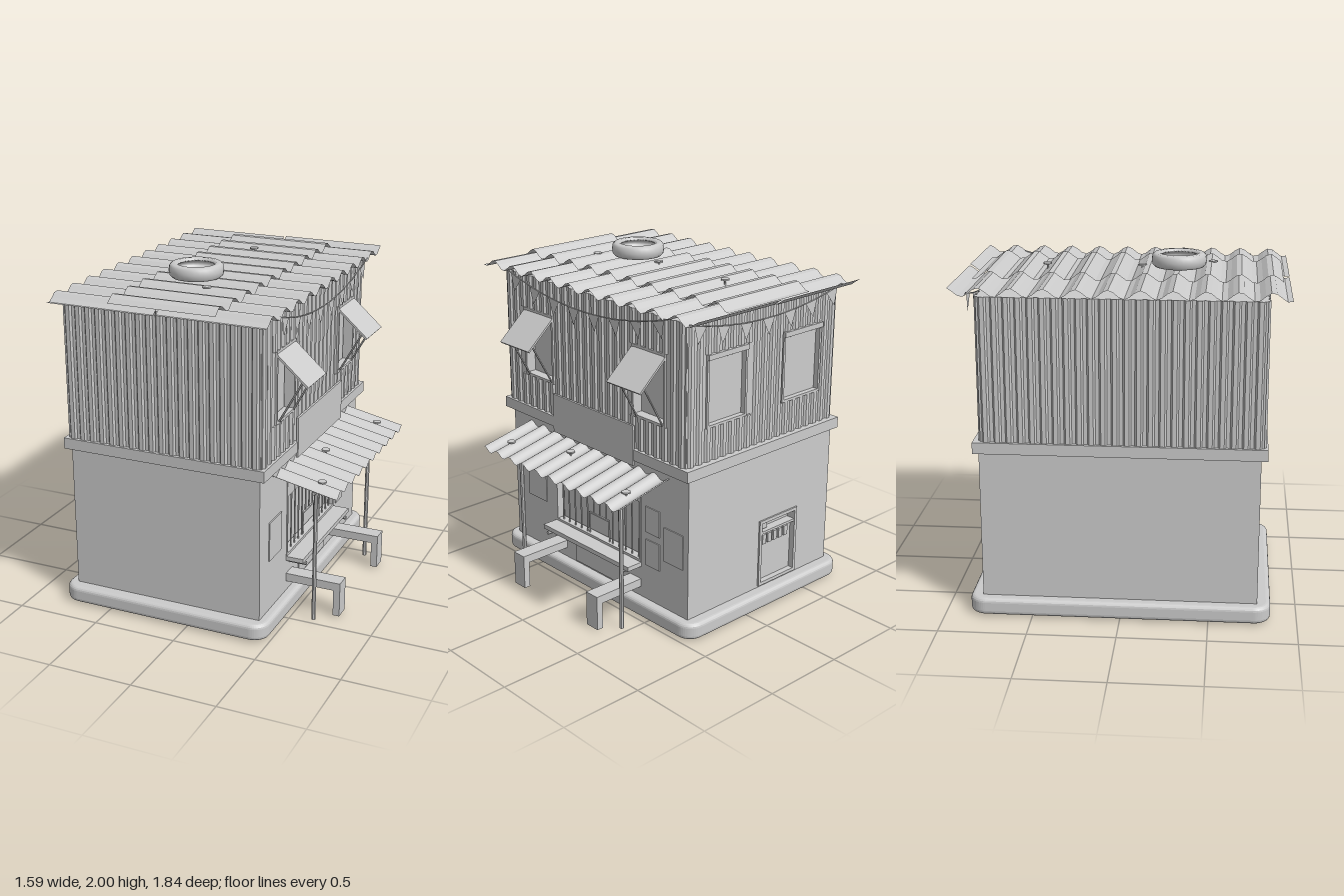
import * as THREE from 'three';
import { RoundedBoxGeometry } from 'three/addons/geometries/RoundedBoxGeometry.js';

const mat = new THREE.MeshStandardMaterial({ color: 0xcccccc, flatShading: true });
const thin = new THREE.MeshStandardMaterial({ color: 0xcccccc, flatShading: true, side: THREE.DoubleSide });
const smooth = new THREE.MeshStandardMaterial({ color: 0xcccccc, side: THREE.DoubleSide });

function add(parent, name, geo, material = mat) {
  const m = new THREE.Mesh(geo, material);
  m.name = name;
  parent.add(m);
  return m;
}

// Box given by its extents
function box(parent, name, x0, x1, y0, y1, z0, z1) {
  const m = add(parent, name, new THREE.BoxGeometry(x1 - x0, y1 - y0, z1 - z0));
  m.position.set((x0 + x1) / 2, (y0 + y1) / 2, (z0 + z1) / 2);
  return m;
}

// Straight round rod between two points
function rod(parent, name, a, b, r, sides = 8) {
  const p = new THREE.Vector3(...a), q = new THREE.Vector3(...b), d = q.clone().sub(p);
  const m = add(parent, name, new THREE.CylinderGeometry(r, r, d.length(), sides));
  m.position.copy(p).add(q).multiplyScalar(0.5);
  m.quaternion.setFromUnitVectors(new THREE.Vector3(0, 1, 0), d.normalize());
  return m;
}

// Wall panel facing local +z, with rectangular holes [u0, u1, y0, y1] and optional ribs
function wall(parent, name, u0, u1, y0, y1, holes, ribbed) {
  const g = new THREE.Group();
  g.name = name;
  parent.add(g);
  const rect = (S, a, b, c, d) => new S([[a, c], [b, c], [b, d], [a, d]].map(p => new THREE.Vector2(...p)));
  const shape = rect(THREE.Shape, u0, u1, y0, y1);
  shape.holes = holes.map(h => rect(THREE.Path, ...h));
  add(g, 'panel', new THREE.ExtrudeGeometry(shape, { depth: 0.06, bevelEnabled: false }).translate(0, 0, -0.06));
  if (!ribbed) return g;
  const n = Math.round((u1 - u0) / 0.064), step = (u1 - u0) / n;
  const profile = new THREE.Shape([[-0.022, 0], [-0.012, -0.012], [0.012, -0.012], [0.022, 0]].map(p => new THREE.Vector2(...p)));
  for (let i = 0; i < n; i++) {
    const u = u0 + (i + 0.5) * step;
    const hole = holes.find(h => u > h[0] - 0.02 && u < h[1] + 0.02);
    for (const [a, b] of hole ? [[y0, hole[2]], [hole[3], y1]] : [[y0, y1]]) {
      const geo = new THREE.ExtrudeGeometry(profile, { depth: b - a, bevelEnabled: false });
      add(g, 'rib', geo.rotateX(-Math.PI / 2)).position.set(u, a, 0);
    }
  }
  return g;
}

// Frame around a rectangle on a local +z wall
function frame(g, name, [u0, u1, y0, y1], t, z0, z1) {
  box(g, name, u0, u0 + t, y0, y1, z0, z1);
  box(g, name, u1 - t, u1, y0, y1, z0, z1);
  box(g, name, u0 + t, u1 - t, y0, y0 + t, z0, z1);
  box(g, name, u0 + t, u1 - t, y1 - t, y1, z0, z1);
}

// Corrugated sheet: waves along z, height from y(x, z)
function sheet(parent, name, x0, x1, z0, z1, steps, height, material) {
  const geo = new THREE.PlaneGeometry(x1 - x0, z1 - z0, 1, steps).rotateX(-Math.PI / 2);
  geo.translate((x0 + x1) / 2, 0, (z0 + z1) / 2);
  const p = geo.attributes.position;
  for (let i = 0; i < p.count; i++) p.setY(i, height(p.getX(i), p.getZ(i)));
  geo.computeVertexNormals();
  return add(parent, name, geo, material);
}

// Sagging string with triangular flags, in local XY
function bunting(parent, u0, u1, yEnd, sag, count) {
  const g = new THREE.Group();
  g.name = 'bunting';
  parent.add(g);
  const y = t => yEnd - sag * (1 - (2 * t - 1) ** 2);
  const pts = Array.from({ length: 13 }, (_, i) => new THREE.Vector3(u0 + (u1 - u0) * i / 12, y(i / 12), 0));
  add(g, 'string', new THREE.TubeGeometry(new THREE.CatmullRomCurve3(pts), 30, 0.004, 5));
  for (let i = 0; i < count; i++) {
    const t = (i + 0.5) / count;
    const tri = new THREE.Shape([[-0.048, 0], [0.005, -0.1], [0.048, 0]].map(p => new THREE.Vector2(...p)));
    const flag = add(g, 'flag', new THREE.ShapeGeometry(tri), thin);
    flag.position.set(u0 + (u1 - u0) * t, y(t), 0);
    flag.rotation.z = Math.atan(4 * sag * (2 * t - 1) / (u1 - u0));
  }
  return g;
}

function nail(parent, x, y, z) {
  rod(parent, 'nailHead', [x, y - 0.008, z], [x, y, z], 0.025, 12);
  rod(parent, 'nailStem', [x, y - 0.09, z], [x, y - 0.008, z], 0.006, 6);
}

export function createModel() {
  const root = new THREE.Group();
  root.name = 'shopHouse';

  // Ground slab with rounded plan corners and a soft rim
  const slab = new THREE.Shape(), sx = 0.62, sz = 0.83, r = 0.07;
  slab.absarc(sx - r, sz - r, r, 0, Math.PI / 2);
  slab.absarc(-sx + r, sz - r, r, Math.PI / 2, Math.PI);
  slab.absarc(-sx + r, -sz + r, r, Math.PI, Math.PI * 1.5);
  slab.absarc(sx - r, -sz + r, r, Math.PI * 1.5, Math.PI * 2);
  const slabGeo = new THREE.ExtrudeGeometry(slab, { depth: 0.05, bevelThickness: 0.025, bevelSize: 0.025, bevelSegments: 4, curveSegments: 6 });
  add(root, 'groundSlab', slabGeo.rotateX(-Math.PI / 2)).position.set(-0.158, 0.035, -0.005);

  // Lower storey
  const counterHole = [-0.38, 0.4, 0.33, 0.81], doorHole = [0.14, 0.46, 0.12, 0.54];
  box(root, 'lowerCore', -0.74, 0.37, 0.1, 0.97, -0.73, 0.775);
  const shopWall = wall(root, 'lowerShopWall', -0.775, 0.785, 0.1, 0.97, [counterHole]);
  shopWall.position.x = 0.43;
  shopWall.rotation.y = Math.PI / 2;
  const doorWall = wall(root, 'lowerBackWall', -0.37, 0.74, 0.1, 0.97, [doorHole]);
  doorWall.position.z = -0.785;
  doorWall.rotation.y = Math.PI;

  // Back door with header, vents and a small plate
  frame(doorWall, 'doorFrame', doorHole, 0.02, -0.05, 0.01);
  box(doorWall, 'doorLeaf', 0.16, 0.44, 0.14, 0.45, -0.05, -0.025);
  box(doorWall, 'doorHeader', 0.16, 0.44, 0.45, 0.465, -0.05, 0.005);
  box(doorWall, 'doorPlate', 0.17, 0.22, 0.475, 0.51, -0.05, -0.01);
  for (let i = 0; i < 5; i++) box(doorWall, 'doorVent', 0.19 + i * 0.046, 0.22 + i * 0.046, 0.37, 0.43, -0.03, -0.012);

  // Floor band
  box(root, 'floorBand', -0.77, 0.47, 0.97, 1.035, -0.815, 0.81);

  // Upper storey with ribbed walls
  const shopWindows = [[-0.61, -0.34, 1.23, 1.65], [0.35, 0.62, 1.23, 1.65]];
  const backWindows = [[-0.3, 0.01, 1.23, 1.65], [0.3, 0.62, 1.23, 1.65]];
  box(root, 'upperCore', -0.7, 0.39, 1.03, 1.85, -0.715, 0.73);
  const sides = [
    ['upperShopWall', -0.785, 0.77, shopWindows, [0.445, 0, 0], Math.PI / 2],
    ['upperBackWall', -0.44, 0.745, backWindows, [0, 0, -0.772], Math.PI],
    ['upperPlainWall', -0.77, 0.785, [], [-0.748, 0, 0], -Math.PI / 2],
    ['upperFrontWall', -0.745, 0.44, [], [0, 0, 0.788], 0],
  ];
  for (const [name, u0, u1, holes, pos, turn] of sides) {
    const w = wall(root, name, u0, u1, 1.03, 1.85, holes, true);
    w.position.set(...pos);
    w.rotation.y = turn;
    for (const h of holes) frame(w, 'windowFrame', h, 0.015, -0.05, 0.012);
    // Shutters propped open on the shop side, closed panels at the back
    for (const [a, b] of holes) {
      if (name === 'upperShopWall') {
        const s = add(w, 'shutter', new THREE.BoxGeometry(b - a, 0.25, 0.012));
        s.position.set((a + b) / 2, 1.55, 0.095);
        s.rotation.x = -0.84;
        for (const u of [a + 0.04, b - 0.02]) rod(w, 'shutterProp', [u, 1.24, 0.01], [u, 1.5, 0.155], 0.006, 6);
      } else {
        box(w, 'windowPanel', a + 0.015, b - 0.015, 1.245, 1.6, -0.045, -0.02);
        box(w, 'windowHood', a, b, 1.62, 1.65, 0, 0.022);
      }
    }
  }

  // Shop sign and posters
  box(root, 'signBoard', 0.462, 0.475, 0.94, 1.18, -0.38, 0.33);
  for (const [z0, z1, y0, y1] of [[0.47, 0.645, 0.42, 0.655], [-0.555, -0.44, 0.54, 0.7], [-0.555, -0.44, 0.33, 0.495],
    [-0.745, -0.59, 0.41, 0.62], [-0.24, 0.19, 0.12, 0.285]]) box(root, 'poster', 0.43, 0.436, y0, y1, z0, z1);

  // Serving hatch: frame, bars, hatch gap and hanging packets
  frame(shopWall, 'hatchFrame', counterHole, 0.015, -0.05, 0.004);
  for (let i = 0; i < 13; i++) {
    const u = -0.33 + i * 0.0575;
    rod(shopWall, 'hatchBar', [u, u > -0.1 && u < 0.11 ? 0.48 : 0.33, -0.015], [u, 0.81, -0.015], 0.005, 6);
  }
  box(shopWall, 'gapRail', -0.08, 0.1, 0.475, 0.485, -0.02, -0.01);
  for (const u of [-0.08, 0.1]) rod(shopWall, 'gapSide', [u, 0.33, -0.015], [u, 0.48, -0.015], 0.005, 6);
  for (let i = 0; i < 7; i++) box(shopWall, 'hangingPackets', -0.385 + i * 0.113, -0.277 + i * 0.113, 0.71, 0.8, 0.002, 0.006);

  // Counter shelf on two round brackets
  box(root, 'counter', 0.42, 0.535, 0.303, 0.33, -0.4, 0.38);
  for (const z of [0.335, -0.345]) rod(root, 'counterBracket', [0.42, 0.288, z], [0.54, 0.288, z], 0.012);

  // Stools fixed to the wall
  for (const [z0, z1] of [[0.285, 0.38], [-0.395, -0.3]]) {
    box(root, 'stoolSeat', 0.42, 0.765, 0.17, 0.22, z0, z1);
    box(root, 'stoolLeg', 0.725, 0.765, 0.01, 0.17, z0, z1);
  }

  // Awning on posts and rails
  for (const z of [0.45, -0.455]) {
    rod(root, 'awningPost', [0.633, 0, z], [0.633, 0.82, z], 0.013);
    rod(root, 'awningRafter', [0.42, 0.855, z], [0.665, 0.82, z], 0.011);
  }
  rod(root, 'awningRail', [0.633, 0.808, -0.49], [0.633, 0.808, 0.49], 0.01);
  sheet(root, 'awningSheet', 0.42, 0.79, -0.63, 0.605, 100,
    (x, z) => 0.912 - (x - 0.43) * 0.21 + 0.014 * Math.cos((z + 0.63) * Math.PI * 2 / 0.1235), smooth);
  nail(root, 0.55, 0.912, 0.08);
  nail(root, 0.66, 0.89, -0.53);
  nail(root, 0.68, 0.89, 0.48);

  // Corrugated roof: two lower sheets and one lapped over the seam
  const wave = (z, y, a) => y + a * Math.cos((z - 0.81) * Math.PI * 2 / 0.174);
  sheet(root, 'roofSheet', -0.77, -0.135, -0.92, 0.915, 64, (x, z) => wave(z, 1.876, 0.024), thin);
  sheet(root, 'roofSheet', -0.12, 0.515, -0.92, 0.915, 64, (x, z) => wave(z, 1.88, 0.024), thin);
  sheet(root, 'roofTopSheet', -0.415, 0.22, -0.855, 0.875, 60, (x, z) => wave(z, 1.9, 0.024), thin);
  for (const [x, z] of [[-0.145, -0.465], [-0.145, 0.08], [-0.015, 0.48]]) nail(root, x, 1.925, z);

  // Old tyre lying on the roof
  const ring = [[0.1, 0.01], [0.115, 0], [0.14, 0.002], [0.152, 0.014], [0.156, 0.04], [0.152, 0.066], [0.14, 0.078], [0.115, 0.08],
    [0.1, 0.07], [0.104, 0.062], [0.13, 0.05], [0.13, 0.03], [0.104, 0.018], [0.1, 0.01]];
  const tyre = add(root, 'roofTyre', new THREE.LatheGeometry(ring.map(p => new THREE.Vector2(...p)), 32), smooth);
  tyre.position.set(-0.17, 1.92, 0.29);

  // Bunting under the shop eave and the back eave
  const shopBunting = bunting(root, -0.7, 0.7, 1.87, 0.11, 8);
  shopBunting.position.x = 0.503;
  shopBunting.rotation.y = Math.PI / 2;
  const backBunting = bunting(root, -0.49, 0.72, 1.865, 0.08, 7);
  backBunting.position.z = -0.832;
  backBunting.rotation.y = Math.PI;

  return root;
}
